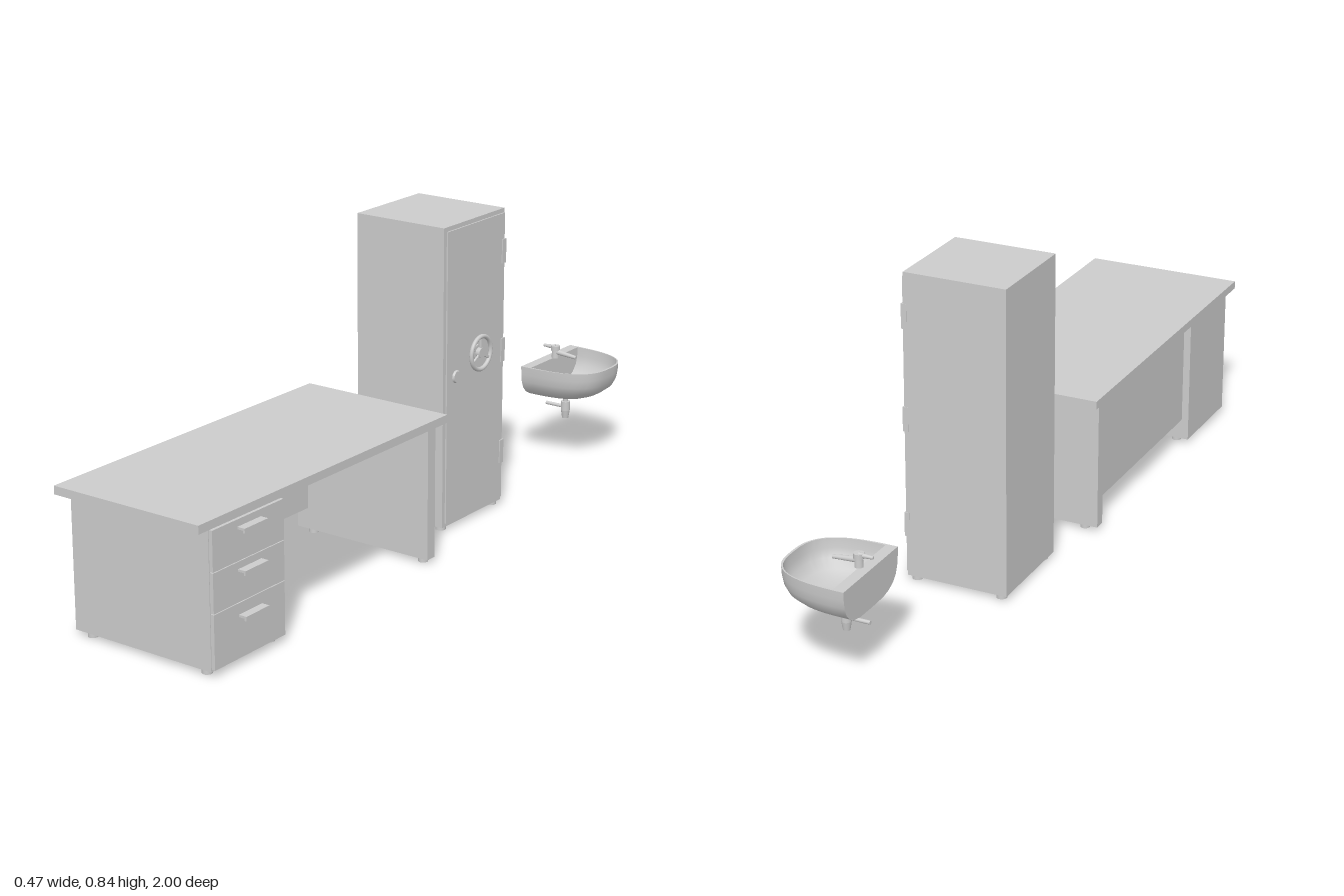
import * as THREE from 'three';
import { toCreasedNormals } from 'three/addons/utils/BufferGeometryUtils.js';

const grey = new THREE.MeshStandardMaterial({ color: 0xcccccc });

function add(parent, name, geometry, x = 0, y = 0, z = 0) {
  const mesh = new THREE.Mesh(geometry, grey);
  mesh.name = name;
  mesh.position.set(x, y, z);
  parent.add(mesh);
  return mesh;
}

// Box given by its limits on each axis
function box(parent, name, x0, x1, y0, y1, z0, z1) {
  return add(parent, name, new THREE.BoxGeometry(x1 - x0, y1 - y0, z1 - z0),
    (x0 + x1) / 2, (y0 + y1) / 2, (z0 + z1) / 2);
}

// Upright cylinder between two heights
function post(parent, name, rTop, rBottom, y0, y1, x, z, sides = 24) {
  return add(parent, name, new THREE.CylinderGeometry(rTop, rBottom, y1 - y0, sides), x, (y0 + y1) / 2, z);
}

// Cylinder along x
function bar(parent, name, rEnd, rStart, x0, x1, y, z) {
  const mesh = add(parent, name, new THREE.CylinderGeometry(rEnd, rStart, x1 - x0, 24), (x0 + x1) / 2, y, z);
  mesh.rotation.z = -Math.PI / 2;
  return mesh;
}

function newGroup(parent, name) {
  const group = new THREE.Group();
  group.name = name;
  parent.add(group);
  return group;
}

function buildDesk(root) {
  const desk = newGroup(root, 'desk');
  box(desk, 'deskTop', -0.235, 0.21, 0.37, 0.392, 0.02, 1);
  box(desk, 'drawerCabinet', -0.225, 0.2, 0.012, 0.37, 0.69, 0.955);
  box(desk, 'sidePanel', -0.225, 0.2, 0.012, 0.37, 0.058, 0.09);
  box(desk, 'backPanel', -0.205, -0.19, 0.07, 0.37, 0.09, 0.69);

  // Drawer fronts with hooked handles
  for (const [y0, y1, handleY] of [[0.262, 0.365, 0.341], [0.159, 0.26, 0.236], [0.018, 0.157, 0.122]]) {
    box(desk, 'drawerFront', 0.2, 0.21, y0, y1, 0.692, 0.953);
    box(desk, 'drawerHandle', 0.21, 0.232, handleY, handleY + 0.006, 0.777, 0.863);
    box(desk, 'drawerHandleLip', 0.227, 0.232, handleY - 0.006, handleY, 0.777, 0.863);
  }
  for (const x of [-0.183, 0.175])
    for (const z of [0.94, 0.709, 0.074]) post(desk, 'deskFoot', 0.013, 0.013, 0, 0.013, x, z);
}

function buildSafe(root) {
  const safe = newGroup(root, 'safe');
  box(safe, 'safeBody', -0.181, 0.098, 0.012, 0.836, -0.4, -0.121);
  box(safe, 'safeDoor', 0.098, 0.102, 0.022, 0.824, -0.397, -0.133);
  for (const y of [0.155, 0.445, 0.72])
    box(safe, 'hinge', 0.09, 0.105, y - 0.033, y + 0.033, -0.401, -0.384);
  for (const x of [-0.16, 0.079])
    for (const z of [-0.142, -0.383]) post(safe, 'safeFoot', 0.014, 0.014, 0, 0.013, x, z);

  // Lock dial
  bar(safe, 'lockDial', 0.015, 0.018, 0.102, 0.107, 0.424, -0.175);

  // Three-spoke wheel facing +x
  const wheel = newGroup(safe, 'doorWheel');
  wheel.position.set(0.115, 0.468, -0.272);
  wheel.rotation.y = Math.PI / 2;
  add(wheel, 'wheelRim', new THREE.TorusGeometry(0.045, 0.006, 12, 48));
  for (let i = 0; i < 3; i++) {
    const angle = Math.PI / 2 + i * Math.PI * 2 / 3;
    const spoke = add(wheel, 'wheelSpoke', new THREE.BoxGeometry(0.036, 0.007, 0.006),
      Math.cos(angle) * 0.026, Math.sin(angle) * 0.026, 0);
    spoke.rotation.z = angle;
  }
  bar(safe, 'wheelBase', 0.022, 0.022, 0.102, 0.107, 0.468, -0.272);
  bar(safe, 'wheelHub', 0.014, 0.014, 0.107, 0.119, 0.468, -0.272);
}

// Lofts D-shaped rings [straight side x, length, half width, y] into a bowl
function bowlGeometry(rings, steps = 40) {
  const points = rings.map(([back, length, width, y]) => {
    const ring = [];
    for (let i = 0; i <= steps; i++) {
      const t = (i / steps - 0.5) * Math.PI;
      const s = Math.sin(t), c = Math.max(0, Math.cos(t));
      ring.push([back + length * c ** 0.7, y, width * Math.sign(s) * Math.abs(s) ** 0.7]);
    }
    return ring;
  });
  const positions = [];
  for (let j = 0; j < points.length - 1; j++) {
    for (let i = 0; i <= steps; i++) {
      const k = (i + 1) % (steps + 1);
      const a = points[j][i], b = points[j + 1][i], c = points[j][k], d = points[j + 1][k];
      positions.push(...a, ...b, ...c, ...b, ...d, ...c);
    }
  }
  const geometry = new THREE.BufferGeometry();
  geometry.setAttribute('position', new THREE.Float32BufferAttribute(positions, 3));
  return toCreasedNormals(geometry, 0.75);
}

function buildSink(root) {
  const sink = newGroup(root, 'sink');
  sink.position.z = -0.869;

  // Outside from the bottom up, over the rim, then down the inside
  add(sink, 'basin', bowlGeometry([
    [-0.06, 0, 0, 0.18], [-0.06, 0.11, 0.055, 0.181], [-0.06, 0.15, 0.083, 0.187],
    [-0.06, 0.178, 0.104, 0.198], [-0.06, 0.199, 0.119, 0.214], [-0.06, 0.21, 0.127, 0.235],
    [-0.06, 0.214, 0.13, 0.257], [-0.06, 0.215, 0.131, 0.28],
    [-0.03, 0.179, 0.125, 0.28], [-0.03, 0.177, 0.123, 0.255], [-0.03, 0.17, 0.117, 0.232],
    [-0.03, 0.15, 0.1, 0.211], [-0.03, 0.115, 0.07, 0.197], [-0.03, 0.08, 0.04, 0.193],
    [-0.03, 0, 0, 0.192],
  ]));

  // Tap
  post(sink, 'tapBody', 0.01, 0.011, 0.28, 0.302, -0.028, 0);
  post(sink, 'tapCap', 0.013, 0.013, 0.302, 0.316, -0.028, 0);
  const spout = bar(sink, 'tapSpout', 0.005, 0.008, -0.028, 0.042, 0.295, 0);
  spout.rotation.z -= 0.1;
  bar(sink, 'tapLever', 0.007, 0.004, -0.067, -0.028, 0.311, 0);

  // Drain trap with an outlet to the back
  post(sink, 'drainPlug', 0.011, 0.011, 0.192, 0.195, 0.01, 0);
  post(sink, 'drainPipe', 0.007, 0.007, 0.15, 0.185, 0.01, 0);
  post(sink, 'drainTrap', 0.013, 0.013, 0.128, 0.155, 0.01, 0);
  post(sink, 'drainCup', 0.013, 0.009, 0.105, 0.128, 0.01, 0);
  bar(sink, 'outletPipe', 0.005, 0.005, -0.055, 0.01, 0.138, 0);
}

export function createModel() {
  const root = new THREE.Group();
  root.name = 'officeFurniture';
  buildDesk(root);
  buildSafe(root);
  buildSink(root);
  return root;
}
